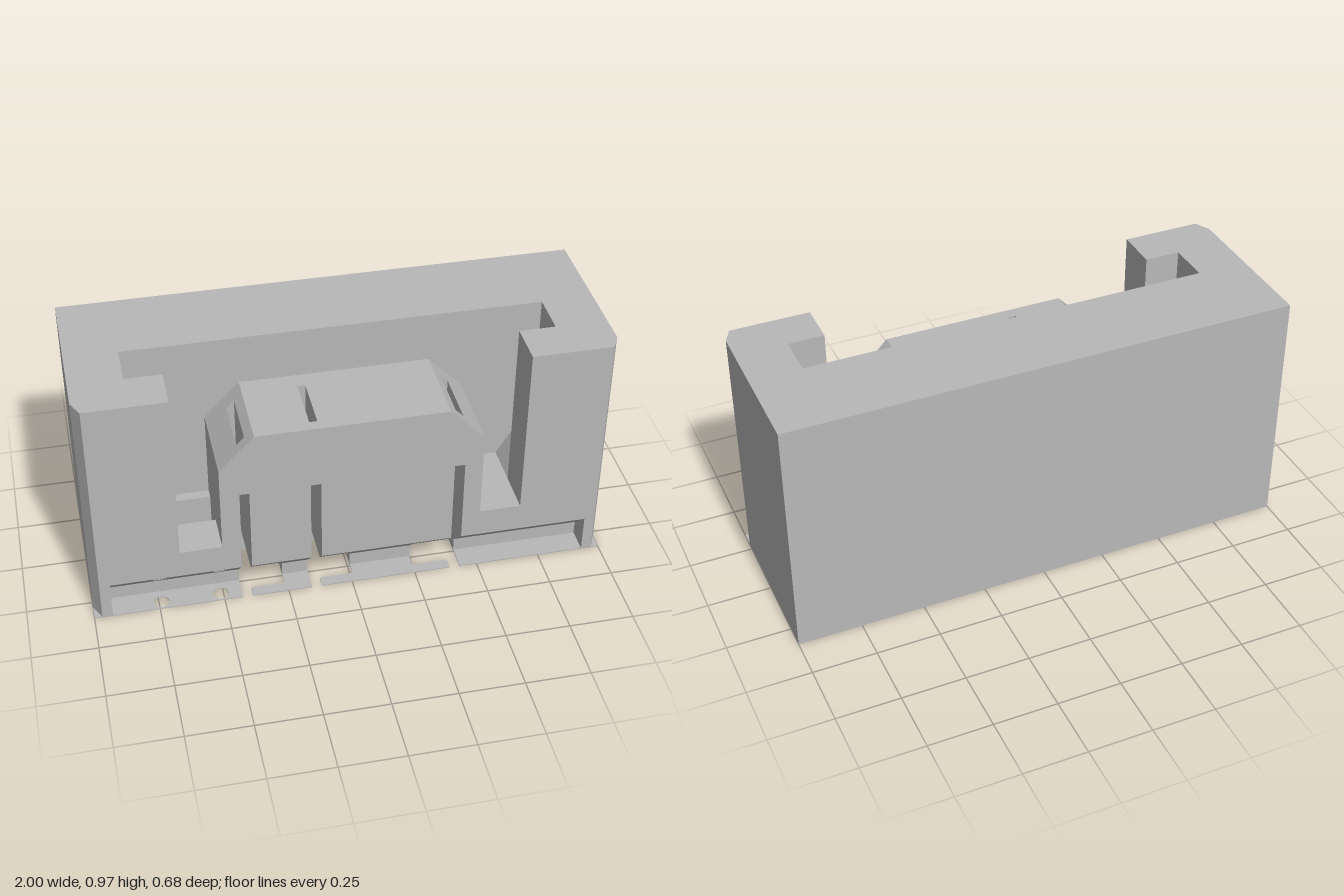
import * as THREE from 'three';
import { mergeGeometries } from 'three/addons/utils/BufferGeometryUtils.js';

const H = 0.97, FRONT = 0.34, LIP = 0.155, RECESS = 0.245, NOTCH_Z = 0.295;
const slots = [-0.41, -0.14, 0.41];                       // slot centres
const notches = [[-0.39, -0.26], [-0.12, 0.01], [0.25, 0.39]];
const pegHoles = [-0.74, -0.51];

const polygon = (pts) => new THREE.Shape(pts.map(([x, y]) => new THREE.Vector2(x, y)));
const extrude = (shape, depth) =>
  new THREE.ExtrudeGeometry(shape, { depth, bevelEnabled: false, curveSegments: 16 });
const circle = (x, y, r) => new THREE.Path().absarc(x, y, r, 0, Math.PI * 2, true);

// Top outline as [x0, x1, y0, y1] segments; inner has the wider pocket with sloped ends
const half = [[0, 0.365, 0.77, 0.77], [0.365, 0.5, 0.77, 0.63], [0.5, 0.66, 0.27, 0.27]];
const mirrored = (segs) => [...segs, ...segs.map(([a, b, p, q]) => [-b, -a, q, p])];
const inner = mirrored([...half, [0.66, 0.8, 0.27, 0.5], [0.8, 1, H, H]]);
const outer = mirrored([...half, [0.66, 1, H, H]]);
const frontOutline = mirrored([...half, [0.66, 0.93, H, H]]);

// Openings as [x0, x1, height]
const chute = [[-0.78, -0.66, 0.25], [-0.66, -0.5, 2]];
const lowSlots = slots.map((x) => [x - 0.02, x + 0.02, 0.51]);
const topSlots = slots.map((x) => [x - 0.015, x + 0.015, 2]);
const lowNotches = notches.map(([a, b]) => [a, b, 0.11]);

// A slab between two depths: columns under the outline, raised above any opening
function slab(outline, cuts, z0, z1, base = 0) {
  const parts = [];
  for (const [a, b, p, q] of outline) {
    const xs = [a, b];
    for (const c of cuts) for (const x of c.slice(0, 2)) if (x > a && x < b) xs.push(x);
    xs.sort((m, n) => m - n);
    const top = (x) => p + ((q - p) * (x - a)) / (b - a);
    for (let i = 0; i < xs.length - 1; i++) {
      const l = xs[i], r = xs[i + 1], mid = (l + r) / 2;
      if (r - l < 1e-6) continue;
      let bottom = base;
      for (const c of cuts) if (mid > c[0] && mid < c[1]) bottom = Math.max(bottom, c[2]);
      if (bottom >= top(mid)) continue;
      parts.push(extrude(polygon([[l, bottom], [r, bottom], [r, top(r)], [l, top(l)]]), z1 - z0));
    }
  }
  return mergeGeometries(parts).translate(0, 0, z0);
}

// Prism along x from a [z, y] section
const prismX = (section, a, b) =>
  extrude(polygon(section.map(([z, y]) => [-z, y])), b - a).rotateY(Math.PI / 2).translate(a, 0, 0);

// Upright prism from an [x, z] outline
function upright(pts, height, holes = []) {
  const s = polygon(pts.map(([x, z]) => [x, -z]));
  for (const [x, z, r] of holes) s.holes.push(circle(x, -z, r));
  return extrude(s, height).rotateX(-Math.PI / 2);
}

export function createModel() {
  const group = new THREE.Group();
  const grey = new THREE.MeshStandardMaterial({ color: 0xb8b8b8 });
  grey.name = 'grey';
  const add = (name, geometry) => {
    const mesh = new THREE.Mesh(geometry, grey);
    mesh.name = name;
    group.add(mesh);
  };

  // Solid back and the slabs in front of it
  add('backBlock', new THREE.BoxGeometry(2, H, 0.34).translate(0, H / 2, -0.17));
  const through = [...lowSlots, ...topSlots, ...lowNotches];
  add('pocketRear', slab(inner, [], 0, 0.04));
  add('pocketChute', slab(inner, chute, 0.04, 0.07));
  add('pocketMiddle', slab(inner, [...chute, ...through], 0.07, 0.17));
  add('columnRear', slab(outer, [...chute, ...through], 0.17, 0.18));
  add('columnMiddle', slab(outer, through, 0.18, RECESS));
  add('frontInner', slab(frontOutline, [...lowSlots, ...topSlots], RECESS, NOTCH_Z, LIP));
  add('frontFace', slab(frontOutline, lowSlots, NOTCH_Z, FRONT, LIP));

  // End posts with chamfered front corners
  for (const s of [1, -1]) {
    add(s > 0 ? 'leftPost' : 'rightPost', upright([[0.93 * s, RECESS], [s, RECESS],
      [s, 0.28], [0.97 * s, FRONT], [0.93 * s, FRONT]], H));
  }

  // Sloped underside of the front, shortened over the notches
  const wedge = [[RECESS, 0.06], [FRONT, LIP], [RECESS, LIP]];
  const clipped = [[RECESS, 0.11], [NOTCH_Z, 0.11], [FRONT, LIP], [RECESS, LIP]];
  const full = [[-0.93, -0.79], [-0.69, -0.56], [-0.46, -0.43], [-0.26, -0.16],
    [0.01, 0.25], [0.43, 0.93]];
  add('slopedUnderside', mergeGeometries([
    ...full.map(([a, b]) => prismX(wedge, a, b)),
    ...notches.map(([a, b]) => prismX(clipped, a, b)),
  ]));

  // Sloped panels with round blind holes
  for (const x of pegHoles) {
    const s = polygon([[x - 0.05, RECESS], [x + 0.05, RECESS], [x + 0.05, FRONT], [x - 0.05, FRONT]]);
    s.holes.push(circle(x, 0.305, 0.03));
    const panel = new THREE.ShapeGeometry(s, 16);
    const p = panel.attributes.position;
    for (let i = 0; i < p.count; i++) p.setXYZ(i, p.getX(i), p.getY(i) - 0.185, p.getY(i));
    panel.computeVertexNormals();
    add('holePanel', panel);

    const bore = new THREE.CylinderGeometry(0.03, 0.03, 1, 32, 1, true);
    bore.scale(-1, 1, 1).translate(x, 0, 0.305);
    const q = bore.attributes.position;
    for (let i = 0; i < q.count; i++) q.setY(i, q.getY(i) > 0 ? LIP : q.getZ(i) - 0.185);
    bore.computeVertexNormals();
    add('holeBore', bore);
  }

  // Thin base plate, split by the slots and stepped around the notches
  const plates = [[-1, -0.43, 0, 0], [-0.39, -0.16, 0.13, 0],
    [-0.12, 0.39, 0.13, 0.14], [0.43, 1, 0, 0]];
  plates.forEach(([a, b, left, right], i) => {
    const pts = [[a, FRONT], [b, FRONT]];
    if (right) pts.push([b, NOTCH_Z]);
    if (right) pts.push([b - right, NOTCH_Z]);
    pts.push([b - right, RECESS], [a + left, RECESS]);
    if (left) pts.push([a + left, NOTCH_Z], [a, NOTCH_Z]);
    add('basePlate', upright(pts, 0.004, i === 0 ? pegHoles.map((x) => [x, 0.305, 0.03]) : []));
  });

  return group;
}
